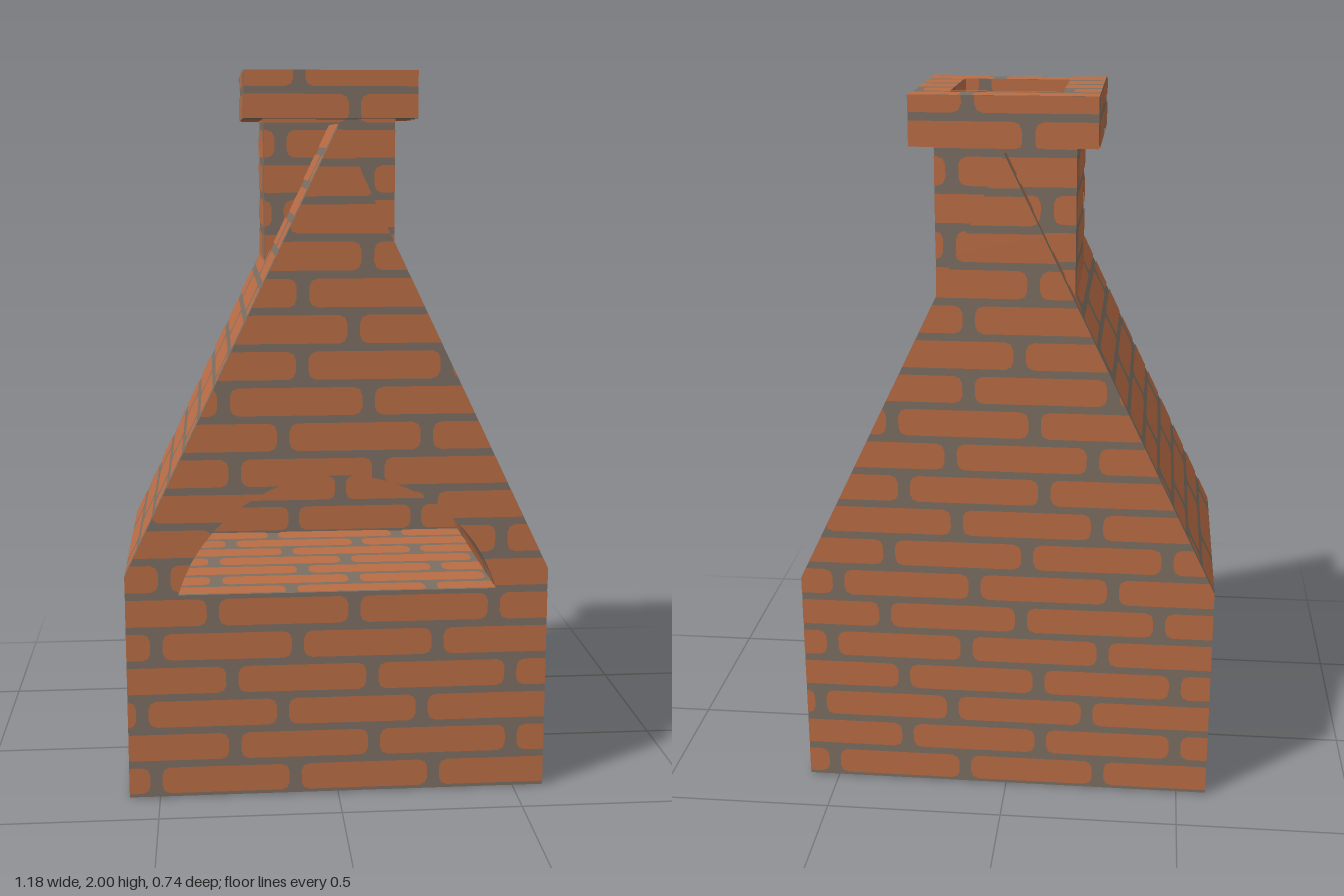
import * as THREE from 'three';

const V = (x, y, z) => new THREE.Vector3(x, y, z);
const COURSE = 0.0973, LENGTH = 0.39, GAP_V = 0.021, GAP_U = 0.034, RELIEF = 0.003;

const mat = (name, color) => Object.assign(new THREE.MeshStandardMaterial({ color }), { name });

// Keep the part of a polygon left of the line a-b (side = 1) or right of it (side = -1)
function clip(poly, a, b, side) {
  const dist = (p) => side * ((b[0] - a[0]) * (p[1] - a[1]) - (b[1] - a[1]) * (p[0] - a[0]));
  const out = [];
  poly.forEach((p, i) => {
    const q = poly[(i + 1) % poly.length], dp = dist(p), dq = dist(q);
    if (dp >= 0) out.push(p);
    if ((dp > 0 && dq < 0) || (dp < 0 && dq > 0)) {
      const t = dp / (dp - dq);
      out.push([p[0] + (q[0] - p[0]) * t, p[1] + (q[1] - p[1]) * t]);
    }
  });
  return out;
}

// Remove a convex hole from a polygon, giving convex pieces
function subtract(poly, hole) {
  const pieces = [];
  let rest = poly;
  for (let i = 0; i < hole.length && rest.length > 2; i++) {
    const a = hole[i], b = hole[(i + 1) % hole.length];
    const outside = clip(rest, a, b, -1);
    if (outside.length > 2) pieces.push(outside);
    rest = clip(rest, a, b, 1);
  }
  return pieces;
}

// One brick with rounded ends
function brick(u0, u1, v0, v1) {
  const r = 0.022, pts = [];
  [[u1 - r, v0 + r], [u1 - r, v1 - r], [u0 + r, v1 - r], [u0 + r, v0 + r]].forEach(([cu, cv], k) => {
    for (let j = 0; j <= 2; j++) {
      const a = (k - 1 + j / 2) * Math.PI / 2;
      pts.push([cu + r * Math.cos(a), cv + r * Math.sin(a)]);
    }
  });
  return pts;
}

const rect = (u0, u1, v0, v1) => [[u0, v0], [u1, v0], [u1, v1], [u0, v1]];

export function createModel() {
  const model = new THREE.Group();
  model.name = 'outdoorFireplace';
  const brickMat = mat('brick', 0xba6d45);
  const mortarMat = mat('mortar', 0x7c6e62);
  const sootMat = mat('soot', 0x0a0a0a);

  // Flat mortar panel covered with a running bond of thin bricks
  function panel(parent, name, origin, u, v, outline, hole) {
    const toPath = (pts) => pts.map((p) => new THREE.Vector2(p[0], p[1]));
    const shape = new THREE.Shape(toPath(outline));
    if (hole) shape.holes.push(new THREE.Path(toPath(hole)));
    const us = outline.map((p) => p[0]), vs = outline.map((p) => p[1]);
    const uMin = Math.min(...us), uMax = Math.max(...us);
    const pos = [];
    for (let row = Math.floor(Math.min(...vs) / COURSE); row * COURSE < Math.max(...vs); row++) {
      const shift = -0.12 + (row & 1 ? LENGTH / 2 : 0) + 0.035 * Math.sin(row * 2.3);
      for (let j = Math.floor((uMin - shift) / LENGTH); j * LENGTH + shift < uMax; j++) {
        const u0 = j * LENGTH + shift;
        let poly = brick(u0 + GAP_U / 2, u0 + LENGTH - GAP_U / 2,
          row * COURSE + GAP_V / 2, (row + 1) * COURSE - GAP_V / 2);
        outline.forEach((a, i) => { poly = clip(poly, a, outline[(i + 1) % outline.length], 1); });
        if (poly.length < 3) continue;
        for (const piece of hole ? subtract(poly, hole) : [poly])
          for (let i = 1; i < piece.length - 1; i++)
            for (const p of [piece[0], piece[i], piece[i + 1]]) pos.push(p[0], p[1], RELIEF);
      }
    }
    const group = new THREE.Group();
    group.name = name;
    const mortar = new THREE.Mesh(new THREE.ShapeGeometry(shape), mortarMat);
    mortar.name = name + 'Mortar';
    group.add(mortar);
    if (pos.length) {
      const geo = new THREE.BufferGeometry();
      geo.setAttribute('position', new THREE.Float32BufferAttribute(pos, 3));
      geo.computeVertexNormals();
      const bricks = new THREE.Mesh(geo, brickMat);
      bricks.name = name + 'Bricks';
      group.add(bricks);
    }
    const n = u.clone().cross(v);
    group.applyMatrix4(new THREE.Matrix4().makeBasis(u, v, n).setPosition(origin));
    parent.add(group);
  }

  // Four upright walls around a rectangle, facing out (dir = 1) or in (dir = -1)
  function walls(parent, name, cz, hx, hz, y0, y1, dir) {
    for (let k = 0; k < 4; k++) {
      const s = Math.round(Math.sin(k * Math.PI / 2)), c = Math.round(Math.cos(k * Math.PI / 2));
      const d = k % 2 ? hx : hz, w = k % 2 ? hz : hx;
      panel(parent, name, V(s * d, 0, cz + c * d), V(c * dir, 0, -s * dir), V(0, 1, 0), rect(-w, w, y0, y1));
    }
  }

  const part = (name) => {
    const g = new THREE.Group();
    g.name = name;
    model.add(g);
    return g;
  };
  const X = V(1, 0, 0), Y = V(0, 1, 0), Z = V(0, 0, 1), BACKWARD = V(0, 0, -1);

  // Tapered body
  const W = 0.585, EAVE = 0.64, APEX = 1.85, ZF = 0.365, ZB = -0.335;
  const gable = [[-W, 0], [W, 0], [W, EAVE], [0, APEX], [-W, EAVE]];
  const SILL = 0.585, HALF = 0.44, RISE = 0.33, SEGS = 24, DEEP = -0.28;
  const R = (HALF * HALF + RISE * RISE) / (2 * RISE), CY = SILL + RISE - R;
  const start = Math.asin((SILL - CY) / R);
  const arch = [];
  for (let i = 0; i <= SEGS; i++) {
    const a = start + (Math.PI - 2 * start) * i / SEGS;
    arch.push([R * Math.cos(a), CY + R * Math.sin(a)]);
  }
  const body = part('body');
  panel(body, 'frontWall', V(0, 0, ZF), X, Y, gable, arch);
  panel(body, 'backWall', V(0, 0, ZB), V(-1, 0, 0), Y, gable);
  panel(body, 'underside', V(0, 0, 0), X, Z, rect(-W, W, ZB, ZF));
  const slope = Math.hypot(W, APEX - EAVE);
  for (const s of [1, -1]) {
    const [u0, u1] = s > 0 ? [-ZF, -ZB] : [ZB, ZF];
    panel(body, 'sideWall', V(s * W, 0, 0), V(0, 0, -s), Y, rect(u0, u1, 0, EAVE));
    panel(body, 'slopedWall', V(s * W, EAVE, 0), V(0, 0, -s),
      V(-s * W, APEX - EAVE, 0).divideScalar(slope), rect(u0, u1, 0, slope));
  }

  // Arched firebox
  const firebox = part('firebox');
  panel(firebox, 'fireboxFloor', V(0, SILL, 0), X, BACKWARD, rect(-HALF, HALF, -ZF, -DEEP));
  panel(firebox, 'fireboxBack', V(0, 0, DEEP), X, Y, arch);
  let run = 0;
  for (let i = 0; i < SEGS; i++) {
    const p = V(...arch[i], 0), t = V(...arch[i + 1], 0).sub(p), len = t.length();
    t.normalize();
    panel(firebox, 'fireboxVault', p.addScaledVector(t, -run), Z, t, rect(DEEP, ZF, run, run + len));
    run += len;
  }

  // Chimney stack and hollow cap
  const CZ = -0.125, CAP = 0.242, HOLE = 0.145, CAP_Y = 1.87;
  const chimney = part('chimney');
  walls(chimney, 'stackWall', CZ, 0.185, 0.185, 1.4, CAP_Y, 1);
  walls(chimney, 'capSide', CZ, CAP, CAP, CAP_Y, 2, 1);
  walls(chimney, 'flueWall', CZ, HOLE, HOLE, CAP_Y, 2, -1);
  panel(chimney, 'capUnderside', V(0, CAP_Y, 0), X, Z, rect(-CAP, CAP, CZ - CAP, CZ + CAP));
  panel(chimney, 'capTop', V(0, 2 - RELIEF, 0), X, BACKWARD, rect(-CAP, CAP, -CZ - CAP, -CZ + CAP),
    rect(-HOLE, HOLE, -CZ - HOLE, -CZ + HOLE));
  const soot = new THREE.Mesh(new THREE.BoxGeometry(2 * HOLE, 0.008, 2 * HOLE), sootMat);
  soot.name = 'flueSoot';
  soot.position.set(0, 1.92, CZ);
  chimney.add(soot);

  return model;
}
